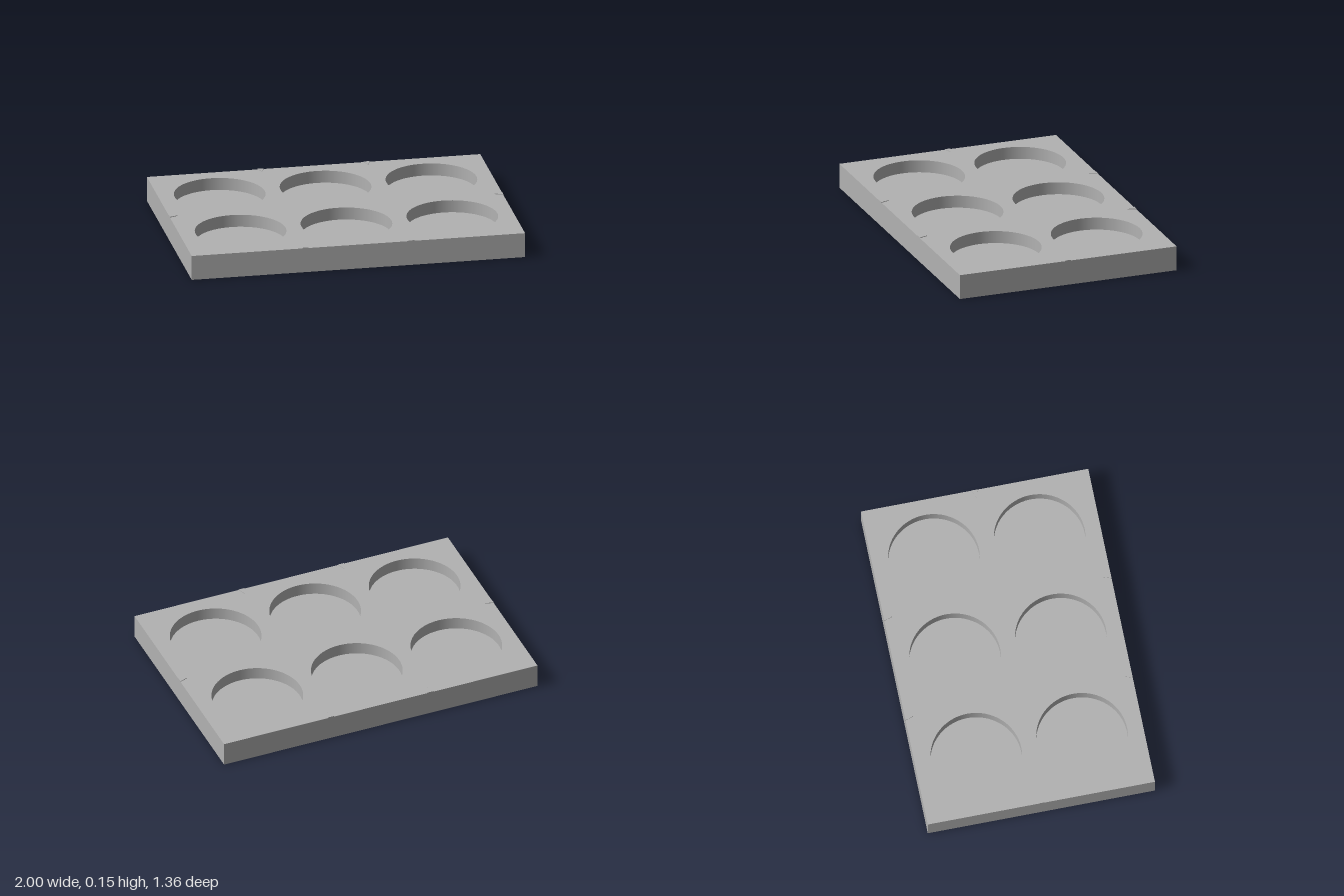
import * as THREE from 'three';

const W = 2, D = 1.364, H = 0.15;
const POCKET_R = 0.27, POCKET_DEPTH = 0.075, PITCH = 0.635, SEG = 96;
const MARK_H = 0.004;

export function createModel() {
  const model = new THREE.Group();
  model.name = 'tray';
  // double sided because the pocket walls are seen from inside
  const grey = new THREE.MeshStandardMaterial({ color: 0xb2b2b2, side: THREE.DoubleSide });
  grey.name = 'grey';

  const add = (parent, name, geometry, x = 0, y = 0, z = 0) => {
    const mesh = new THREE.Mesh(geometry, grey);
    mesh.name = name;
    mesh.position.set(x, y, z);
    parent.add(mesh);
    return mesh;
  };

  // body: a box without its top face
  const body = new THREE.BoxGeometry(W, H, D);
  const index = Array.from(body.index.array);
  index.splice(12, 6);
  body.setIndex(index);
  body.clearGroups();
  add(model, 'body', body, 0, H / 2, 0);

  // pocket centres: three columns, two rows
  const centres = [];
  for (const x of [-PITCH, 0, PITCH])
    for (const z of [-PITCH / 2, PITCH / 2]) centres.push([x, z]);

  // top face with round openings
  const face = new THREE.Shape([
    new THREE.Vector2(-W / 2, -D / 2), new THREE.Vector2(W / 2, -D / 2),
    new THREE.Vector2(W / 2, D / 2), new THREE.Vector2(-W / 2, D / 2),
  ]);
  for (const [x, z] of centres) {
    const hole = new THREE.Path();
    hole.absarc(x, -z, POCKET_R, 0, Math.PI * 2, true);
    face.holes.push(hole);
  }
  add(model, 'topFace', new THREE.ShapeGeometry(face, SEG / 2).rotateX(-Math.PI / 2), 0, H, 0);

  // pockets: wall and flat floor
  const wall = new THREE.CylinderGeometry(POCKET_R, POCKET_R, POCKET_DEPTH, SEG, 1, true);
  const floor = new THREE.CircleGeometry(POCKET_R, SEG).rotateX(-Math.PI / 2);
  for (const [x, z] of centres) {
    const pocket = new THREE.Group();
    pocket.name = 'pocket';
    pocket.position.set(x, H - POCKET_DEPTH, z);
    add(pocket, 'pocketWall', wall, 0, POCKET_DEPTH / 2, 0);
    add(pocket, 'pocketFloor', floor);
    model.add(pocket);
  }

  // thin pointed alignment marks along the rim, tip towards the middle
  const markShape = new THREE.Shape([
    new THREE.Vector2(-0.018, 0), new THREE.Vector2(0.018, 0), new THREE.Vector2(0, 0.05),
  ]);
  const mark = new THREE.ExtrudeGeometry(markShape, { depth: MARK_H, bevelEnabled: false })
    .rotateX(-Math.PI / 2);
  const addMark = (x, z, turn) => {
    add(model, 'alignmentMark', mark, x, H, z).rotation.y = turn;
  };
  for (const x of [-PITCH / 2, PITCH / 2]) {
    addMark(x, D / 2, 0);
    addMark(x, -D / 2, Math.PI);
  }
  addMark(W / 2, 0, Math.PI / 2);
  addMark(-W / 2, 0, -Math.PI / 2);

  return model;
}
